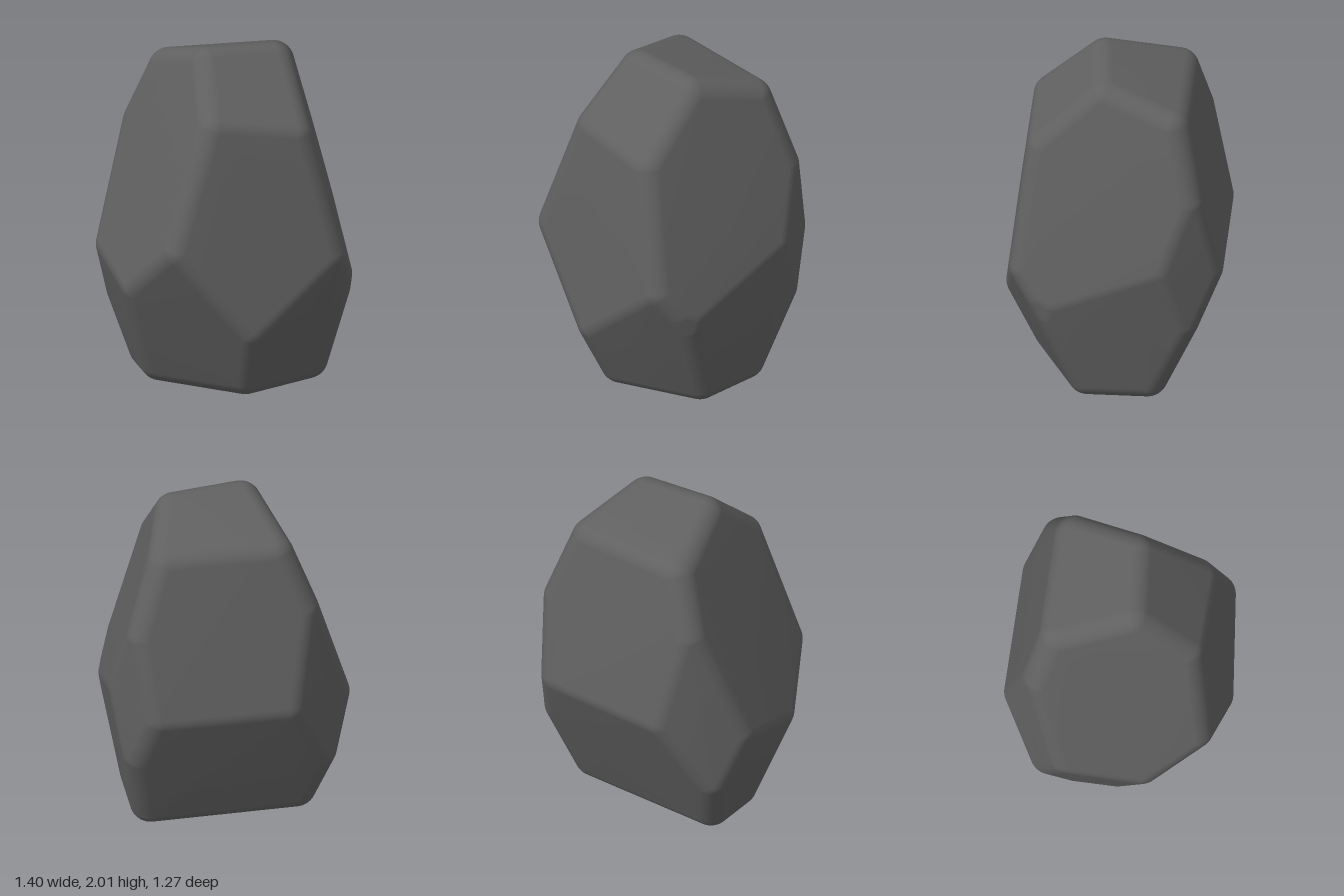
import * as THREE from 'three';
import { mergeVertices } from 'three/addons/utils/BufferGeometryUtils.js';

// Radius of the worn edges
const WEAR = 0.12;

// Facets of the boulder: outward normal, then a point on the facet
const FACETS = [
  [0.01, 0.52, -0.16, 0, 2.014, 0.11],       // sloping top
  [0.055, 0.41, 0.4, 0, 2.014, 0.11],        // front top bevel
  [0, 0.1, 0.8, 0, 1.65, 0.497],             // front
  [-0.24, -0.16, 0.29, -0.02, 0.3, 0.607],   // lower front, right half
  [0.14, -0.13, 0.279, -0.02, 0.3, 0.605],   // lower front, left half
  [-0.17, -0.7, 1.53, -0.02, 0.3, 0.595],    // worn ridge between the halves
  [2.36, -0.29, 1, 0.617, 0.62, 0.4],        // worn front left corner
  [0.653, 0.179, 0.131, 0.688, 0.985, -0.29], // left side, upper
  [0.48, -0.08, 0, 0.532, 0, 0],             // left side, lower
  [-0.552, 0.196, 0.106, -0.692, 0.72, 0],   // right side, upper
  [-0.64, -0.19, 0, -0.692, 0.7, 0],         // right side, lower
  [0.012, 0.21, -0.97, 0, 1.84, -0.42],      // back, upper
  [0, -0.34, -0.82, 0, 0.87, -0.63],         // back, lower
  [0.86, 0, -0.5, 0.69, 0.98, -0.29],        // back left corner
  [-0.7, 0.04, -0.7, -0.69, 0.8, -0.29],     // back right corner
  [-0.03, -1, 0, 0, 0.012, 0],               // underside
];

// Corners of the solid whose facets are all moved inward by the edge radius
function innerCorners() {
  const planes = FACETS.map(([a, b, c, x, y, z]) => {
    const n = new THREE.Vector3(a, b, c).normalize();
    return { n, h: n.dot(new THREE.Vector3(x, y, z)) - WEAR };
  });
  const corners = [];
  planes.forEach((p, i) => planes.slice(i + 1).forEach((q, j) => planes.slice(i + j + 2).forEach((s) => {
    const qs = q.n.clone().cross(s.n);
    const sp = s.n.clone().cross(p.n);
    const pq = p.n.clone().cross(q.n);
    const det = p.n.dot(qs);
    if (Math.abs(det) < 1e-6) return;
    const v = qs.multiplyScalar(p.h).addScaledVector(sp, q.h).addScaledVector(pq, s.h).divideScalar(det);
    if (planes.every((f) => f.n.dot(v) < f.h + 1e-6)) corners.push(v);
  })));
  return corners;
}

// Split a ball among the corners: flat facets with rounded edges between
function boulderGeometry() {
  const corners = innerCorners();
  const ball = new THREE.IcosahedronGeometry(1, 40);
  ball.deleteAttribute('uv');
  ball.deleteAttribute('normal');
  const geo = mergeVertices(ball, 1e-5);
  const pos = geo.attributes.position;
  const normals = new Float32Array(pos.count * 3);
  const n = new THREE.Vector3();
  for (let i = 0; i < pos.count; i++) {
    n.fromBufferAttribute(pos, i).normalize();
    n.toArray(normals, i * 3);
    const far = corners.reduce((best, v) => (v.dot(n) > best.dot(n) ? v : best));
    n.multiplyScalar(WEAR).add(far);
    pos.setXYZ(i, n.x, n.y, n.z);
  }
  geo.setAttribute('normal', new THREE.BufferAttribute(normals, 3));
  // Stand on the ground, centred
  geo.computeBoundingBox();
  const { min, max } = geo.boundingBox;
  geo.translate(-(min.x + max.x) / 2, -min.y, -(min.z + max.z) / 2);
  return geo;
}

export function createModel() {
  const group = new THREE.Group();
  group.name = 'rock';
  const boulder = new THREE.Mesh(
    boulderGeometry(),
    new THREE.MeshStandardMaterial({ color: 0x606060 })
  );
  boulder.name = 'boulder';
  group.add(boulder);
  return group;
}
